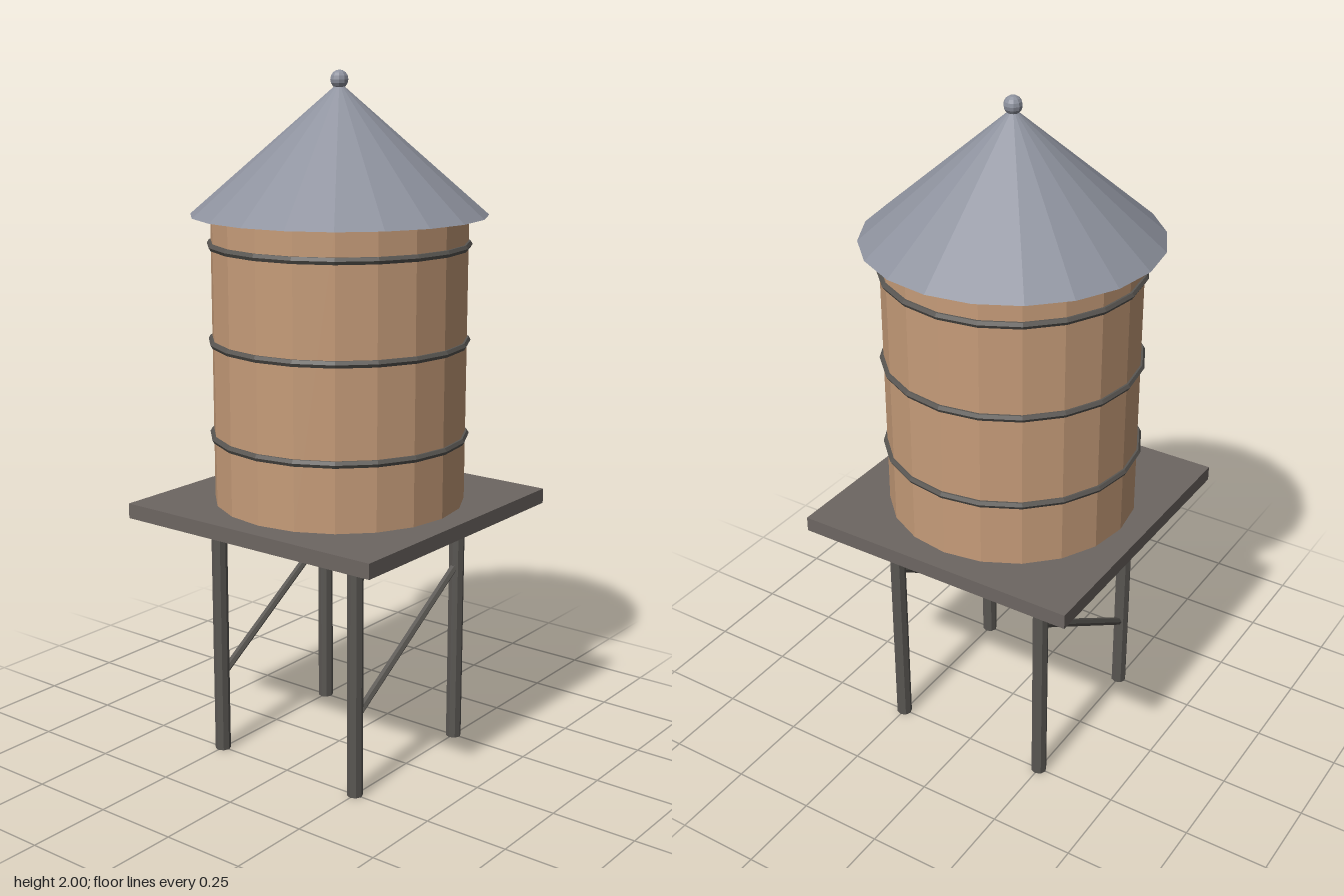
import * as THREE from 'three';

const SIDES = 20;
const mat = (name, color) => Object.assign(new THREE.MeshStandardMaterial({ color }), { name });

export function createModel() {
  const model = new THREE.Group();
  model.name = 'waterTower';
  const wood = mat('wood', 0xc69c79);
  const roofMetal = mat('roofMetal', 0x8e929e);
  const deckGrey = mat('deckGrey', 0x6d6662);
  const darkSteel = mat('darkSteel', 0x5a5753);

  // Adds a faceted mesh at a position
  const add = (name, geometry, material, x, y, z) => {
    const flat = geometry.index ? geometry.toNonIndexed() : geometry;
    flat.computeVertexNormals();
    const mesh = new THREE.Mesh(flat, material);
    mesh.name = name;
    mesh.position.set(x, y, z);
    model.add(mesh);
    return mesh;
  };

  // Legs
  for (const x of [-0.25, 0.25]) {
    for (const z of [-0.25, 0.25]) {
      add('leg', new THREE.CylinderGeometry(0.023, 0.023, 0.74, 8), darkSteel, x, 0.37, z);
    }
  }

  // Diagonal braces, front and back, rising towards +x
  const run = 0.49, rise = 0.315;
  for (const z of [-0.25, 0.25]) {
    const brace = add('brace', new THREE.CylinderGeometry(0.012, 0.012, Math.hypot(run, rise), 6), darkSteel, 0, 0.395, z);
    brace.rotation.z = -Math.atan2(run, rise);
  }

  // Platform and tank
  add('platform', new THREE.BoxGeometry(0.866, 0.044, 0.866), deckGrey, 0, 0.757, 0);
  add('tank', new THREE.CylinderGeometry(0.364, 0.364, 0.826, SIDES), wood, 0, 1.192, 0);

  // Hoops around the tank
  for (const y of [0.974, 1.248, 1.522]) {
    const hoop = new THREE.TorusGeometry(0.364, 0.011, 6, SIDES).rotateX(Math.PI / 2);
    add('hoop', hoop, darkSteel, 0, y, 0);
  }

  // Roof and finial
  add('roof', new THREE.ConeGeometry(0.42, 0.363, SIDES), roofMetal, 0, 1.7855, 0);
  add('finial', new THREE.SphereGeometry(0.026, 10, 8), roofMetal, 0, 1.974, 0);

  return model;
}
